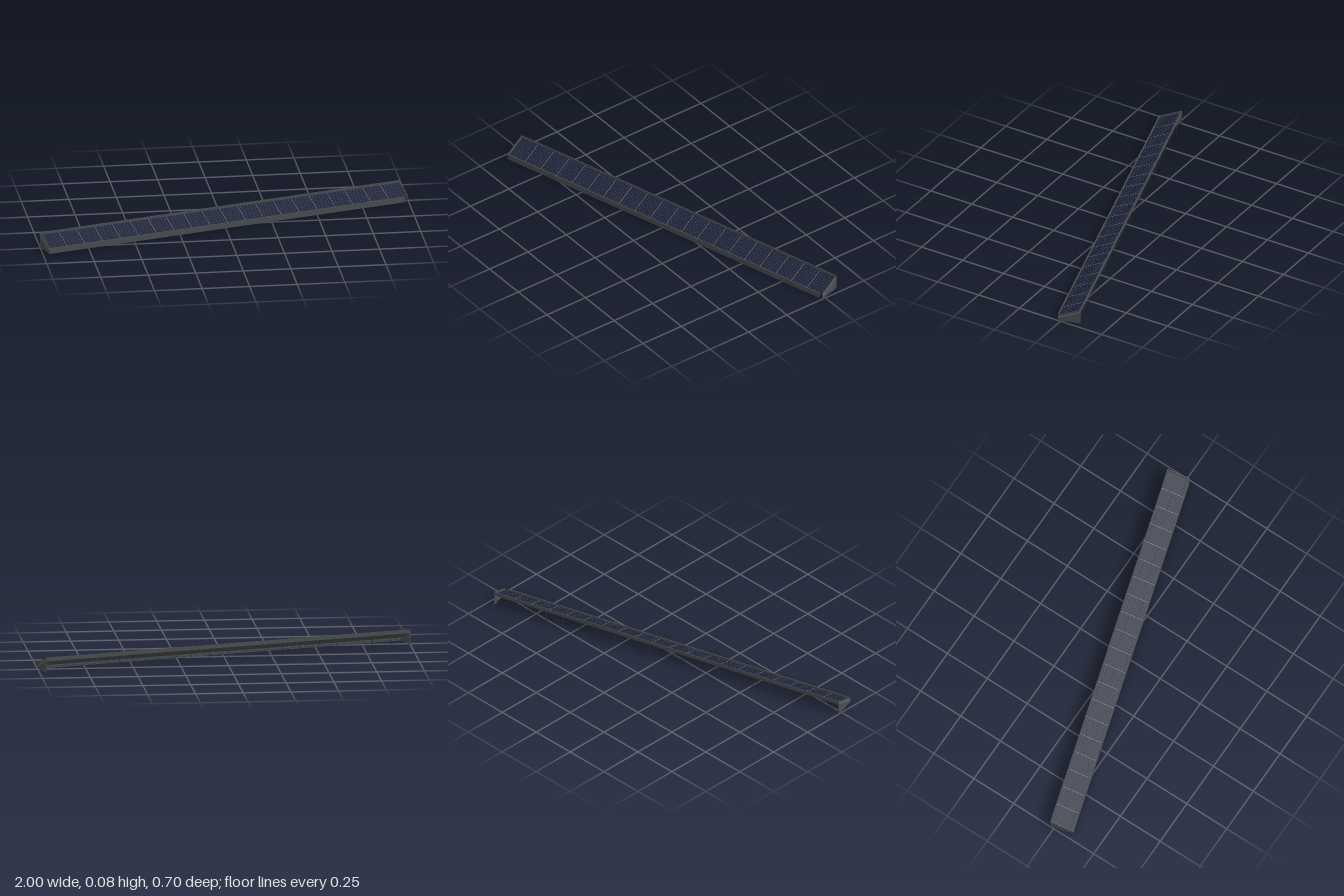
import * as THREE from 'three';
import { mergeGeometries } from 'three/addons/utils/BufferGeometryUtils.js';

const LENGTH = 2.048, DEPTH = 0.125, COUNT = 20, SLOPE = 0.4;
const HALF = LENGTH / 2, FRONT = DEPTH / 2;
const rimHeight = (z) => 0.03 + (FRONT - z) * SLOPE;

const material = (name, color) => {
  const m = new THREE.MeshStandardMaterial({ color });
  m.name = name;
  return m;
};

const box = (w, h, d, x, y, z) => new THREE.BoxGeometry(w, h, d).translate(x, y, z);

export function createModel() {
  const model = new THREE.Group();
  model.name = 'solarPanelRow';
  const frame = material('frameGrey', 0x4a4e50);
  const cell = material('cellNavy', 0x1b2036);
  const line = material('gridLine', 0x4a5064);
  const trim = material('trimGrey', 0x8a8d8a);
  const post = material('postDark', 0x2c2e30);

  const row = new THREE.Group();
  row.name = 'row';
  row.rotation.y = THREE.MathUtils.degToRad(16.4);
  model.add(row);
  const add = (parent, name, geometry, mat) => {
    const mesh = new THREE.Mesh(geometry, mat);
    mesh.name = name;
    parent.add(mesh);
    return mesh;
  };

  // Front skirt and rear rim of the tray
  add(row, 'frontSkirt', box(2.026, 0.03, 0.005, -0.011, 0.015, FRONT - 0.0025), frame);
  add(row, 'rearRim', box(LENGTH, 0.02, 0.004, 0, 0.07, -FRONT + 0.002), frame);

  // Sloped end plates with a pale edge strip along the panel line
  const endShape = (points) => new THREE.Shape(points.map(([z, y]) => new THREE.Vector2(-z, y)));
  const extrude = (shape, depth, x) =>
    new THREE.ExtrudeGeometry(shape, { depth, bevelEnabled: false })
      .rotateY(Math.PI / 2).translate(x - depth / 2, 0, 0);
  const zf = 0.057, zb = -FRONT;
  const plate = endShape([[zf, 0], [zb, 0], [zb, rimHeight(zb)], [zf, rimHeight(zf)]]);
  const strip = endShape([
    [zf, rimHeight(zf) - 0.016], [-0.052, rimHeight(-0.052) - 0.014], [zb, 0.064],
    [zb, 0.067], [-0.052, rimHeight(-0.052) - 0.011], [zf, rimHeight(zf) - 0.013],
  ]);
  for (const side of [-1, 1]) {
    add(row, 'endPlate', extrude(plate, 0.004, side * (HALF - 0.002)), frame);
    add(row, 'endStrip', extrude(strip, 0.001, side * HALF), trim);
  }

  // Tilted panel bed, recessed below the rim
  const bed = new THREE.Group();
  bed.name = 'panelBed';
  bed.position.y = 0.043;
  bed.rotation.x = Math.atan(SLOPE);
  row.add(bed);
  const bedDepth = 0.128, inner = LENGTH - 0.01, step = inner / COUNT;
  add(bed, 'panelBacking', box(inner, 0.003, bedDepth, 0, -0.0025, 0), frame);
  add(bed, 'panelFace', box(inner, 0.001, bedDepth, 0, -0.0005, 0), cell);

  // Cell grid, module dividers and rear posts
  const grid = [], dividers = [], posts = [];
  for (let j = 1; j < 8; j++) {
    grid.push(box(inner, 0.0004, 0.0007, 0, 0.0001, -bedDepth / 2 + (j * bedDepth) / 8));
  }
  for (let i = 0; i < COUNT; i++) {
    const x = -inner / 2 + i * step;
    for (let k = 1; k < 6; k++) {
      grid.push(box(0.0007, 0.0004, bedDepth, x + (k * step) / 6, 0.0001, 0));
    }
    if (i === 0) continue;
    dividers.push(box(0.002, 0.001, bedDepth, x, 0.0003, 0));
    posts.push(box(0.002, 0.064, 0.002, x, 0.032, -FRONT + 0.004));
  }
  add(bed, 'cellGrid', mergeGeometries(grid), line);
  add(bed, 'moduleDividers', mergeGeometries(dividers), trim);
  add(row, 'rearPosts', mergeGeometries(posts), post);
  add(row, 'rearTieRod', box(LENGTH - 0.01, 0.0015, 0.0015, 0, 0.03, -FRONT + 0.004), post);

  return model;
}
